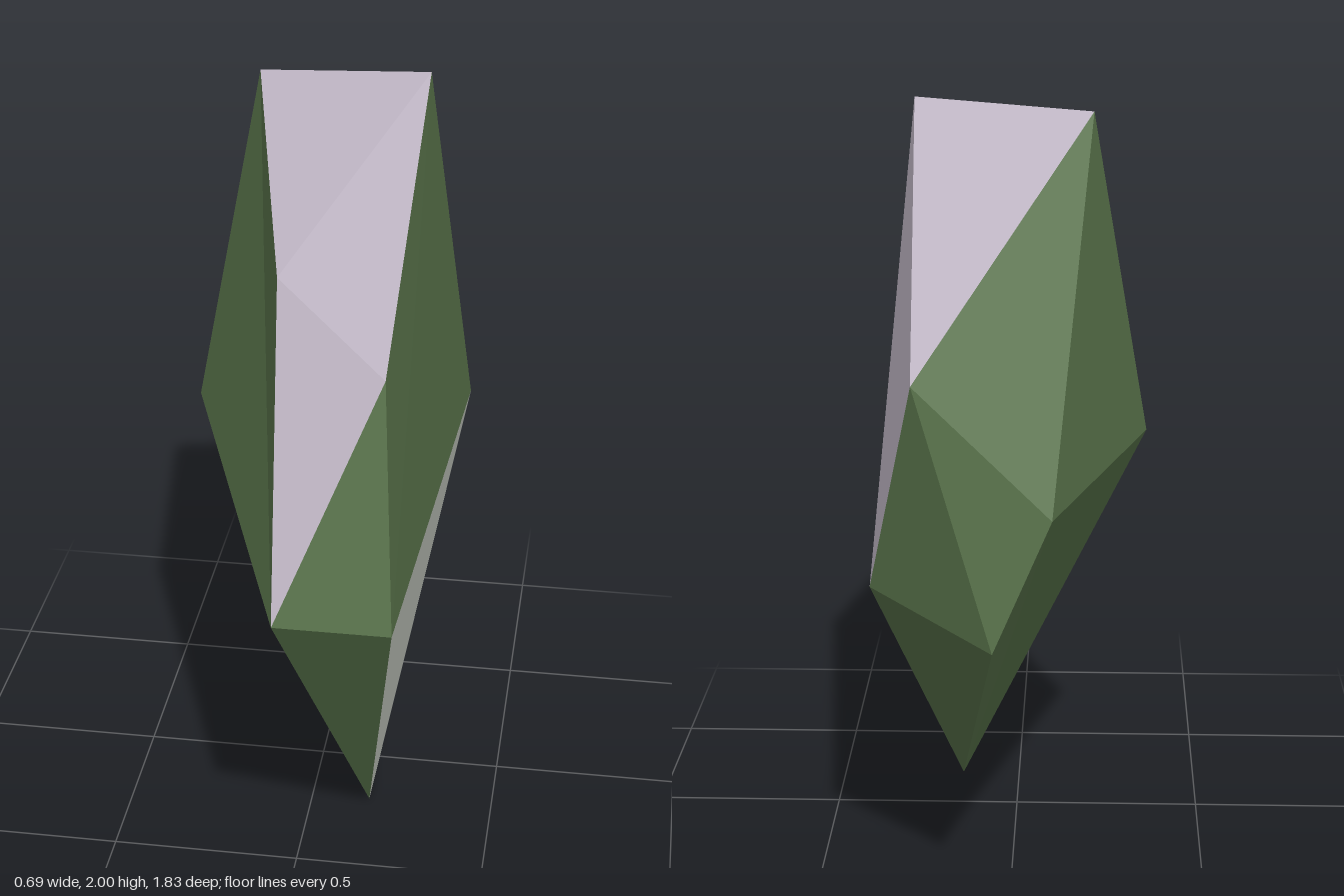
import * as THREE from 'three';

// Corners of the faceted stone
const P = {
  topLeft: [0.25, 2.0, -0.19],
  topRight: [-0.2, 1.97, -0.23],
  browRight: [-0.03, 1.735, 0.545],
  browLeft: [0.245, 1.545, 0.67],
  noseRight: [0.01, 1.0, 0.915],
  noseLeft: [0.285, 0.935, 0.815],
  sideLeft: [0.34, 0.865, -0.655],
  sideRight: [-0.345, 1.105, -0.06],
  tip: [0.16, 0, 0.205],
  backTop: [0.22, 1.42, -0.845],
  backRight: [-0.11, 1.11, -0.885],
  backLow: [0.03, 0.79, -0.915],
};

// Flat facets from corner loops, each turned to face outward
function facets(name, material, loops) {
  const centre = new THREE.Vector3(0, 1.1, 0);
  const points = [];
  for (const loop of loops) {
    const v = loop.split(' ').map((key) => new THREE.Vector3(...P[key]));
    for (let i = 1; i < v.length - 1; i++) {
      const tri = new THREE.Triangle(v[0], v[i], v[i + 1]);
      const normal = tri.getNormal(new THREE.Vector3());
      const outward = normal.dot(v[0].clone().sub(centre)) > 0;
      points.push(v[0], ...(outward ? [v[i], v[i + 1]] : [v[i + 1], v[i]]));
    }
  }
  const geometry = new THREE.BufferGeometry().setFromPoints(points);
  geometry.computeVertexNormals();
  const mesh = new THREE.Mesh(geometry, material);
  mesh.name = name;
  return mesh;
}

export function createModel() {
  const green = new THREE.MeshStandardMaterial({ color: 0x567048 });
  green.name = 'moss green';
  const lilac = new THREE.MeshStandardMaterial({ color: 0xb8afbd });
  lilac.name = 'pale lilac';
  const grey = new THREE.MeshStandardMaterial({ color: 0xbcc0b8 });
  grey.name = 'light grey';

  const stone = new THREE.Group();
  stone.name = 'facetedStone';

  // Lilac crown
  stone.add(facets('crownFacets', lilac, [
    'topLeft topRight browRight',
    'topLeft browRight browLeft',
    'browRight browLeft noseRight',
    'topLeft sideLeft backTop',
    'topLeft backTop topRight',
  ]));

  // Green flanks and lower front and back
  stone.add(facets('flankFacets', green, [
    'topLeft browLeft noseLeft sideLeft',
    'browLeft noseRight noseLeft',
    'topRight browRight noseRight sideRight',
    'topRight sideRight backRight',
    'topRight backRight backTop',
    'backTop backRight backLow',
    'backTop backLow sideLeft',
    'tip noseLeft noseRight',
    'tip noseRight sideRight backRight backLow',
    'tip backLow sideLeft',
  ]));

  // Grey underside on the left
  stone.add(facets('lowerSideFacet', grey, ['noseLeft sideLeft tip']));

  return stone;
}
